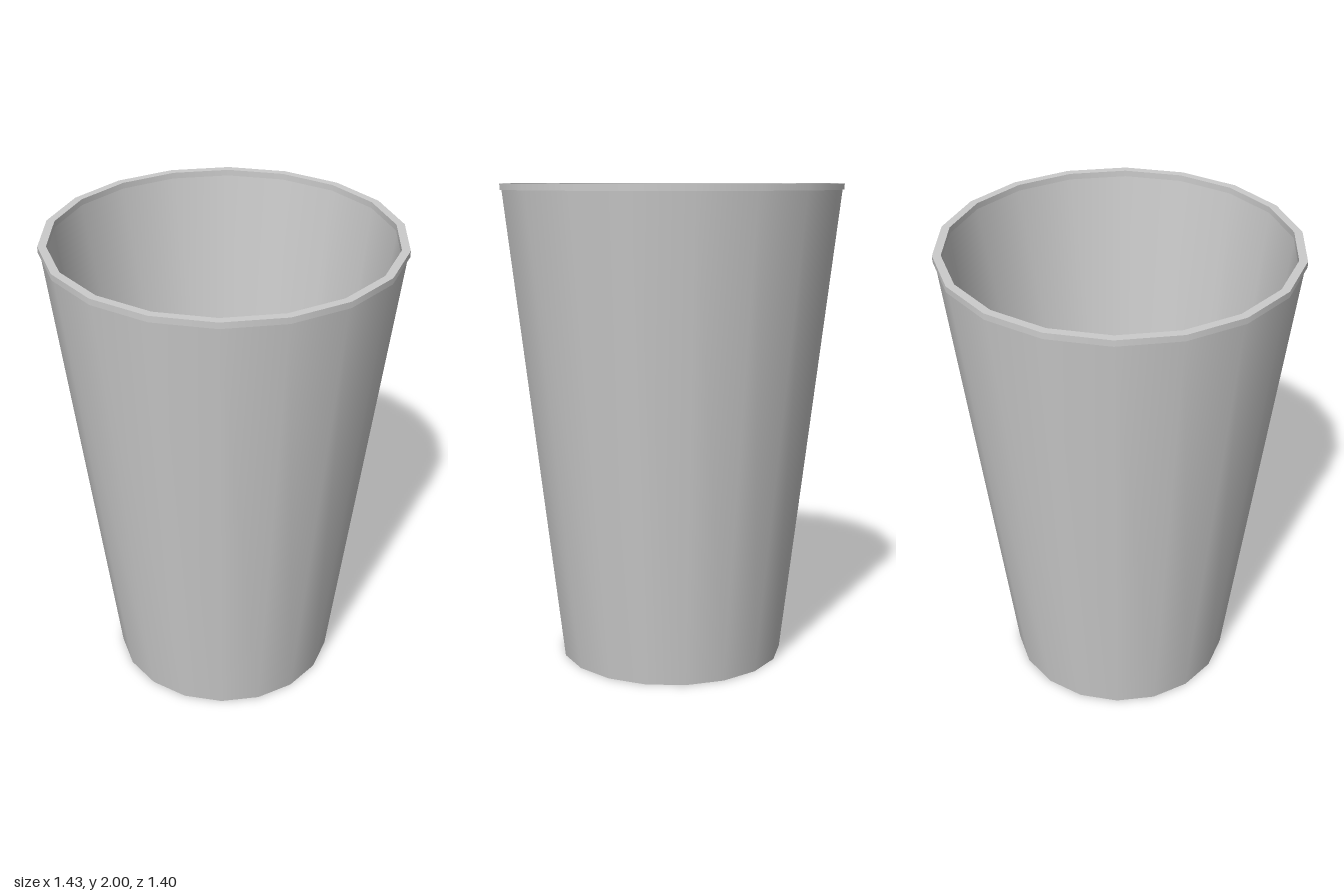
import * as THREE from 'three';

const SIDES = 18;

export function createModel() {
  const group = new THREE.Group();
  group.name = 'cup';
  const material = new THREE.MeshStandardMaterial({ color: 0xcccccc });

  // One ring-shaped surface between two [radius, height] points,
  // smooth around the axis and sharp where it meets the next surface.
  const addRing = (name, from, to) => {
    const profile = [new THREE.Vector2(...from), new THREE.Vector2(...to)];
    const mesh = new THREE.Mesh(
      new THREE.LatheGeometry(profile, SIDES, Math.PI / 2, Math.PI * 2), material);
    mesh.name = name;
    group.add(mesh);
  };

  // Closed profile: under the base, up the outside, over the rim, down the inside
  const profile = [
    ['base', [0, 0]],
    ['outerWall', [0.475, 0]],
    ['rimUnderside', [0.705, 1.975]],
    ['rimOutside', [0.713, 1.975]],
    ['rimTop', [0.713, 2]],
    ['rimInside', [0.68, 2]],
    ['rimInnerStep', [0.68, 1.975]],
    ['innerWall', [0.685, 1.975]],
    ['floor', [0.464, 0.02]],
    ['', [0, 0.02]],
  ];
  for (let i = 0; i < profile.length - 1; i++) {
    addRing(profile[i][0], profile[i][1], profile[i + 1][1]);
  }

  return group;
}
